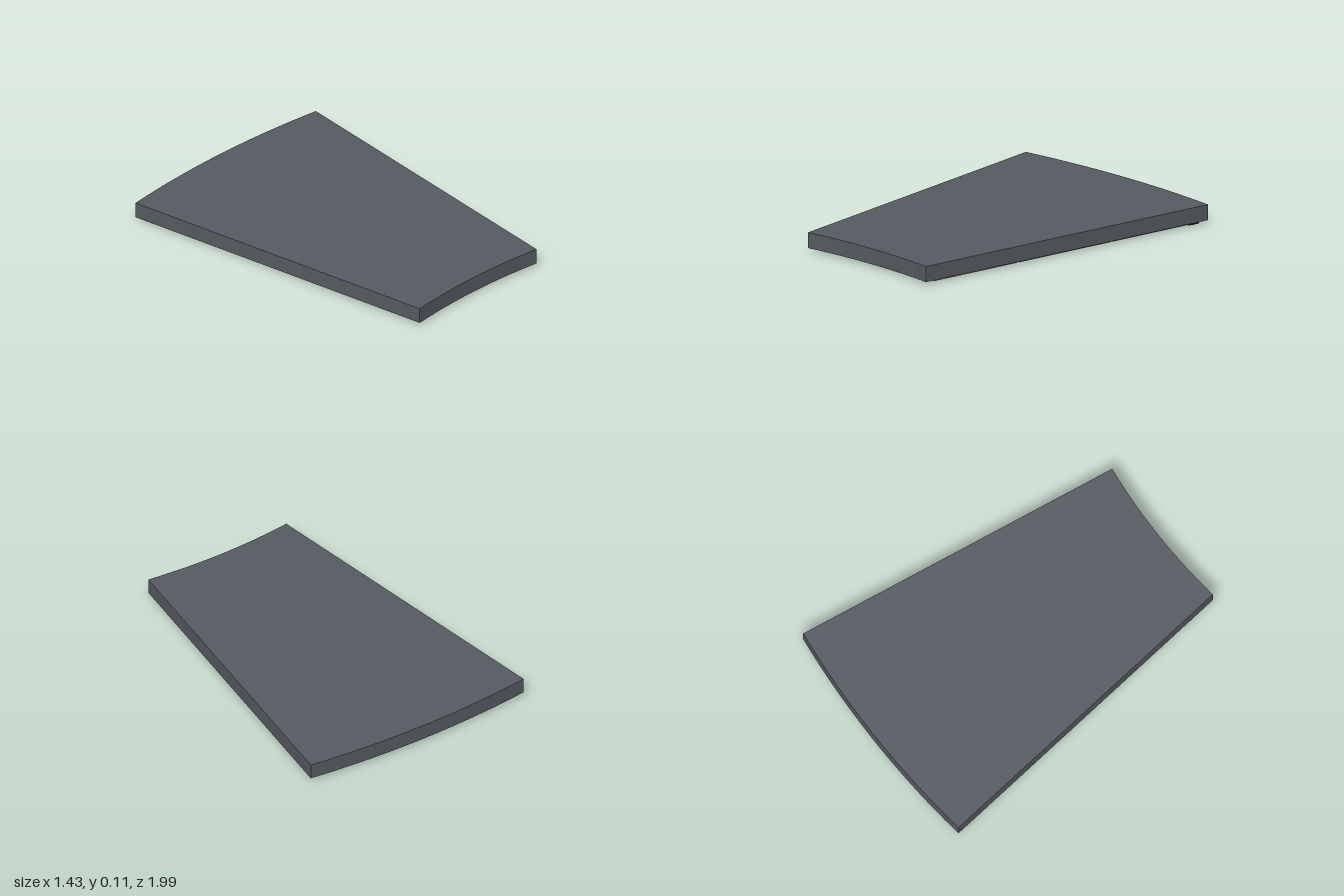
import * as THREE from 'three';

const CENTRE_Z = 4.578;   // common centre of all arcs
const HALF = 0.1285;      // half opening angle of the slab

// Ring sector between two radii and two angles (measured from -z), from y0 to y1
function sector(name, r0, r1, a0, a1, y0, y1, color) {
  const shape = new THREE.Shape();
  shape.absarc(0, 0, r1, Math.PI / 2 + a0, Math.PI / 2 + a1, false);
  shape.absarc(0, 0, r0, Math.PI / 2 + a1, Math.PI / 2 + a0, true);
  shape.closePath();
  const geo = new THREE.ExtrudeGeometry(shape, { depth: y1 - y0, bevelEnabled: false, curveSegments: 24 });
  geo.rotateX(-Math.PI / 2);
  geo.translate(0, y0, CENTRE_Z);
  const mesh = new THREE.Mesh(geo, new THREE.MeshStandardMaterial({ color }));
  mesh.name = name;
  return mesh;
}

export function createModel() {
  const model = new THREE.Group();
  model.name = 'curvedCeilingSegment';

  // Main slab
  model.add(sector('slab', 3.613, 5.578, -HALF, HALF, 0.018, 0.108, 0x565b61));

  // Underside panels: two columns by three rows with narrow seams
  const panels = new THREE.Group();
  panels.name = 'undersidePanels';
  const rows = [3.68, 4.268, 4.923, 5.45];
  const gap = 0.007, edge = 0.1248;
  for (let i = 0; i < 3; i++) {
    const r0 = rows[i] + (i > 0 ? gap : 0);
    const r1 = rows[i + 1] - (i < 2 ? gap : 0);
    const seam = gap / ((r0 + r1) / 2);
    panels.add(sector('panelRight', r0, r1, seam, edge, 0.008, 0.019, 0x77746e));
    panels.add(sector('panelLeft', r0, r1, -edge, -seam, 0.008, 0.019, 0x77746e));
  }
  model.add(panels);

  // Light channel along the outer edge
  model.add(sector('lightChannel', 5.462, 5.53, -edge, edge, 0.003, 0.019, 0x15181b));
  model.add(sector('lightStrip', 5.487, 5.507, -edge + 0.001, edge - 0.001, 0, 0.01, 0x2f8fa8));

  return model;
}
